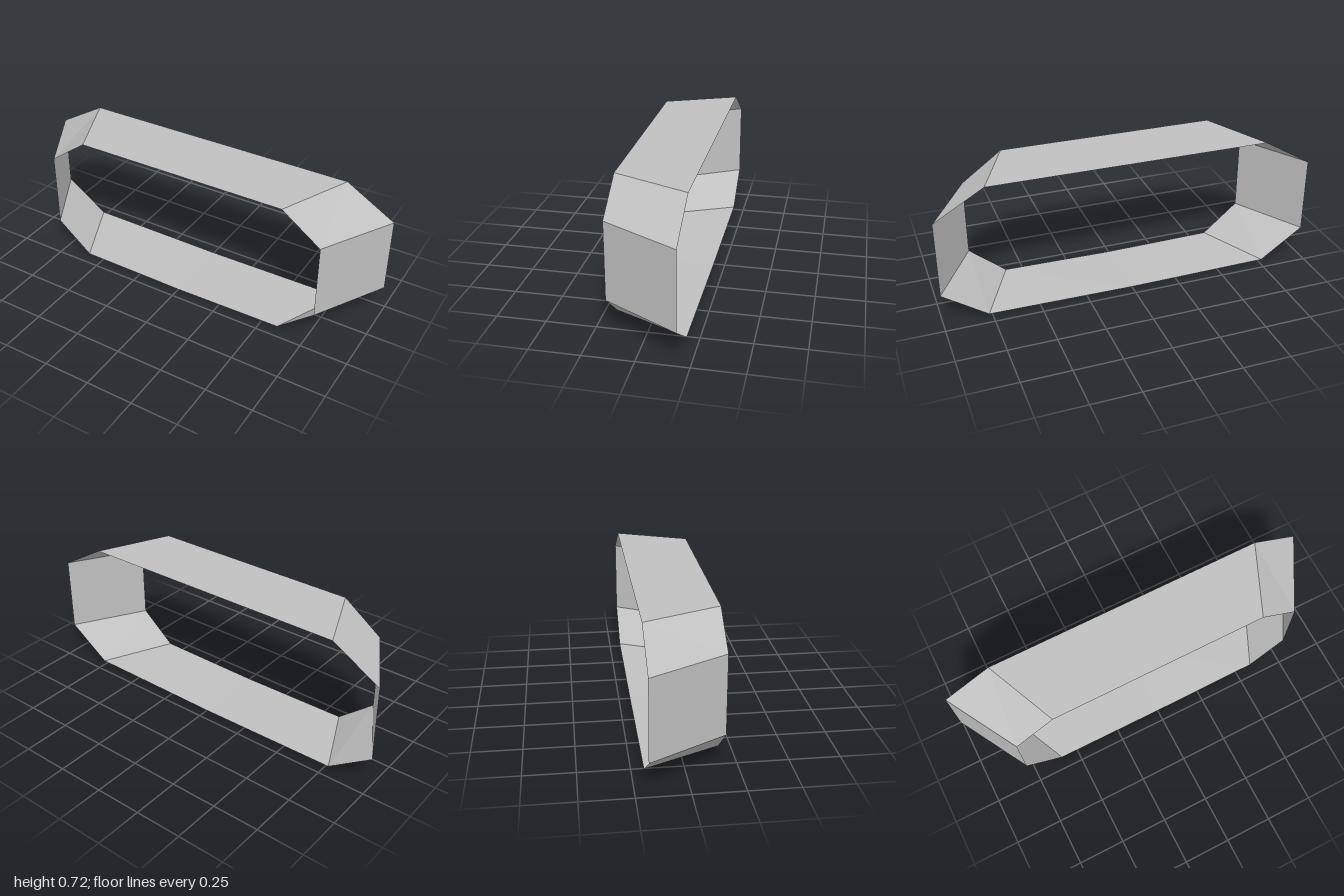
import * as THREE from 'three';

export function createModel() {
  const group = new THREE.Group();
  const grey = new THREE.MeshStandardMaterial({ color: 0xc0c0c0, side: THREE.DoubleSide, flatShading: true });
  grey.name = 'light grey';

  // Half cross-section of the band, top centre to bottom centre: [front x, back x, y]
  const half = [
    [0, 0, 0.724],
    [0.575, 0.742, 0.724],
    [0.783, 1, 0.573],
    [0.783, 1, 0.17],
    [0.592, 0.768, 0.01],
    [0, 0, 0.002],
  ];
  const names = ['topPanel', 'upperCorner', 'sidePanel', 'lowerCorner', 'bottomPanel'];
  const depth = 0.19;

  for (const side of [1, -1]) {
    names.forEach((name, i) => {
      const [f0, b0, y0] = half[i];
      const [f1, b1, y1] = half[i + 1];
      const points = [
        [f0 * side, y0, depth], [b0 * side, y0, -depth],
        [f1 * side, y1, depth], [b1 * side, y1, -depth],
      ];
      // Upper corners fold from front-bottom to back-top, lower ones from front-top to back-bottom
      const faces = i < 2 ? [0, 2, 1, 1, 2, 3] : [0, 2, 3, 0, 3, 1];
      if (side < 0) faces.reverse();
      const geometry = new THREE.BufferGeometry();
      geometry.setAttribute('position', new THREE.Float32BufferAttribute(faces.flatMap((k) => points[k]), 3));
      geometry.computeVertexNormals();
      const panel = new THREE.Mesh(geometry, grey);
      panel.name = (side > 0 ? 'left ' : 'right ') + name;
      group.add(panel);
    });
  }
  group.name = 'octagonalBand';
  return group;
}
